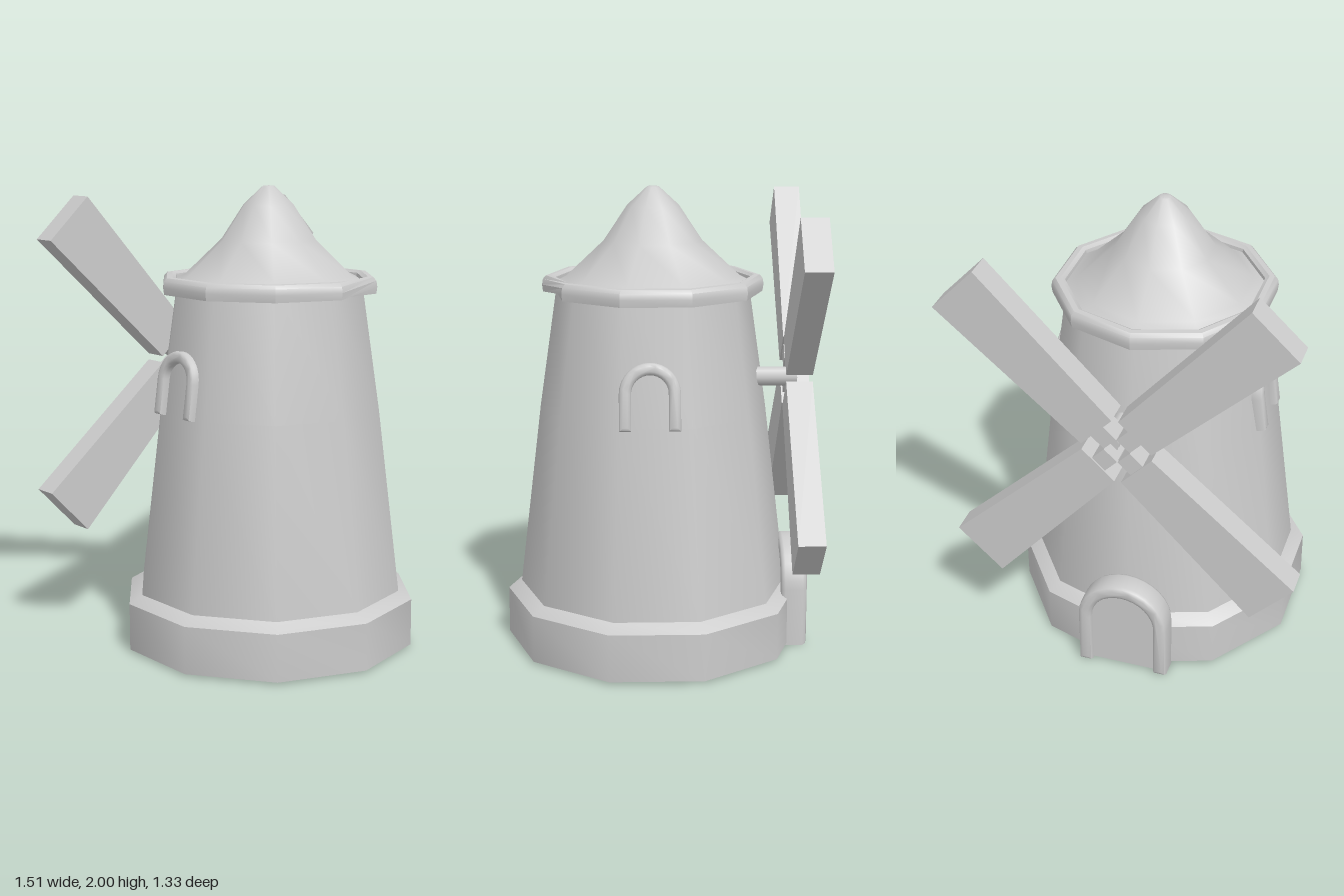
import * as THREE from 'three';
import { toCreasedNormals } from 'three/addons/utils/BufferGeometryUtils.js';

const mat = new THREE.MeshStandardMaterial({ color: 0xcccccc, side: THREE.DoubleSide });
const SIDES = 10;

function part(name, geometry, parent) {
  const mesh = new THREE.Mesh(geometry, mat);
  mesh.name = name;
  parent.add(mesh);
  return mesh;
}

// ten-sided lathe with a corner on +z, soft around and sharp at steps
function turned(profile) {
  const points = profile.map(([r, y]) => new THREE.Vector2(r, y));
  return toCreasedNormals(new THREE.LatheGeometry(points, SIDES), 0.7);
}

// arched outline standing on y = 0
function archPath(target, half, height) {
  target.moveTo(half, 0);
  target.lineTo(half, height - half);
  target.absarc(0, height - half, half, 0, Math.PI, false);
  target.lineTo(-half, 0);
  return target;
}

// rounded U-shaped frame, facing +z
function archFrame(half, height, width, depth) {
  const shape = archPath(new THREE.Shape(), half, height);
  const inner = half - width, spring = height - half;
  shape.lineTo(-inner, 0);
  shape.lineTo(-inner, spring);
  shape.absarc(0, spring, inner, Math.PI, 0, true);
  shape.lineTo(inner, 0);
  const bevel = width * 0.3;
  const geometry = new THREE.ExtrudeGeometry(shape, {
    depth: depth - bevel, curveSegments: 8, bevelEnabled: true,
    bevelThickness: bevel, bevelSize: bevel, bevelOffset: -bevel, bevelSegments: 2,
  });
  return toCreasedNormals(geometry, 0.8);
}

// rim around the eaves; its last stretch is twisted a quarter turn
function rimGeometry() {
  const section = [[0.415, 1.55], [0.472, 1.55], [0.476, 1.58], [0.472, 1.605],
    [0.458, 1.62], [0.435, 1.622], [0.418, 1.612], [0.412, 1.58]];
  const n = section.length, positions = [], index = [];
  for (let i = 0; i <= SIDES; i++) {
    const a = (i / SIDES) * Math.PI * 2;
    for (const [r, y] of section) positions.push(r * Math.sin(a), y, r * Math.cos(a));
  }
  for (let i = 0; i < SIDES; i++) {
    const shift = i === 0 ? 2 : 0;
    for (let j = 0; j < n; j++) {
      const k = (j + 1) % n;
      const a = i * n + j, b = i * n + k;
      const c = (i + 1) * n + (j + shift) % n, d = (i + 1) * n + (k + shift) % n;
      index.push(a, c, b, b, c, d);
    }
  }
  const geometry = new THREE.BufferGeometry();
  geometry.setAttribute('position', new THREE.Float32BufferAttribute(positions, 3));
  geometry.setIndex(index);
  return toCreasedNormals(geometry, 0.6);
}

export function createModel() {
  const model = new THREE.Group();
  model.name = 'windmill';

  // tower with plinth, rim and roof
  const tower = new THREE.Group();
  tower.name = 'tower';
  tower.position.set(0.008, 0, 0.02);
  model.add(tower);
  part('towerWall', turned([[0, 0.01], [0.645, 0.01], [0.645, 0.215], [0.587, 0.25],
    [0.49, 1.05], [0.41, 1.6], [0, 1.6]]), tower);
  part('roof', turned([[0.42, 1.595], [0.37, 1.62], [0.21, 1.77], [0.11, 1.92],
    [0.025, 1.998], [0, 2]]), tower);
  part('rim', rimGeometry(), tower);

  // arched window frames leaning with the wall
  for (const side of [1, -1]) {
    const frame = part(side > 0 ? 'leftWindowFrame' : 'rightWindowFrame',
      archFrame(0.127, 0.28, 0.05, 0.055), model);
    frame.rotation.set(-0.14, side * Math.PI / 2, 0, 'YXZ');
    frame.position.set(side > 0 ? 0.452 : -0.438, 1.04, side > 0 ? 0.045 : -0.02);
  }

  // back door
  const door = new THREE.Group();
  door.name = 'door';
  door.position.z = -0.555;
  door.rotation.y = Math.PI;
  model.add(door);
  part('doorFrame', archFrame(0.2, 0.455, 0.06, 0.095), door);
  part('doorPanel', new THREE.ExtrudeGeometry(archPath(new THREE.Shape(), 0.17, 0.425),
    { depth: 0.072, bevelEnabled: false, curveSegments: 8 }), door).position.y = 0.01;

  // axle
  const axle = part('axle', new THREE.CylinderGeometry(0.042, 0.042, 0.2, 8), model);
  axle.rotation.x = Math.PI / 2;
  axle.position.set(0.05, 1.182, -0.5);

  // four sails, slightly wider at the tips
  const sails = new THREE.Group();
  sails.name = 'sails';
  sails.position.set(0, 1.195, -0.604);
  sails.rotation.y = -0.007;
  model.add(sails);
  const outline = new THREE.Shape([[0.115, -0.095], [0.915, -0.132], [0.915, 0.132],
    [0.115, 0.095]].map(([x, y]) => new THREE.Vector2(x, y)));
  const sailGeometry = new THREE.ExtrudeGeometry(outline, { depth: 0.114, bevelEnabled: false });
  sailGeometry.translate(0, 0, -0.057);
  for (let i = 0; i < 4; i++) {
    const arm = new THREE.Group();
    arm.name = 'sailArm';
    arm.rotation.z = THREE.MathUtils.degToRad(43.7 + i * 90);
    sails.add(arm);
    part('sail', sailGeometry, arm);
    part('sailBracket', new THREE.BoxGeometry(0.09, 0.075, 0.1), arm).position.x = 0.085;
  }
  return model;
}
